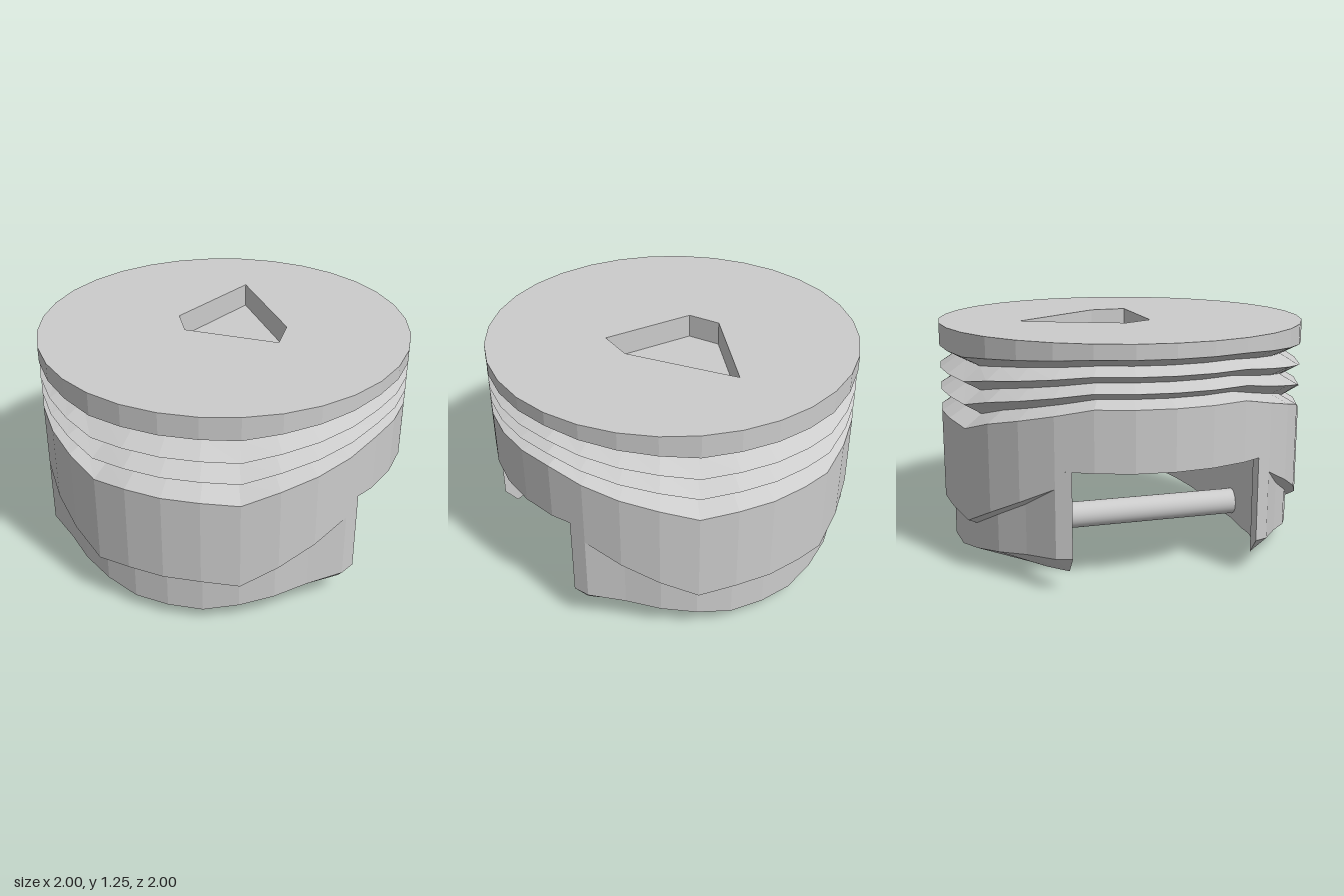
import * as THREE from 'three';

const SIDES = 32;
const DEG = Math.PI / 180;
const lerp = THREE.MathUtils.lerp;
const grey = (extra = {}) => new THREE.MeshStandardMaterial({ color: 0xcccccc, ...extra });

function facetMesh(name, positions) {
  const g = new THREE.BufferGeometry();
  g.setAttribute('position', new THREE.Float32BufferAttribute(positions, 3));
  g.computeVertexNormals();
  const mesh = new THREE.Mesh(g, grey({ flatShading: true }));
  mesh.name = name;
  return mesh;
}

// Joins rows of [x, y, z] points, top row first, into flat facets
function loft(rows, closed) {
  const out = [];
  for (let i = 0; i < rows.length - 1; i++) {
    const n = rows[i].length;
    for (let j = 0; j < (closed ? n : n - 1); j++) {
      const k = (j + 1) % n;
      const p = rows[i][j], q = rows[i][k], r = rows[i + 1][j], s = rows[i + 1][k];
      out.push(...p, ...q, ...r, ...q, ...s, ...r);
    }
  }
  return out;
}

const circle = (fn) => Array.from({ length: SIDES }, (_, i) => fn((i * 360) / SIDES));

// 0 over the pin-slot sides, 1 over the skirts, ramping between
function sway(deg) {
  const a = Math.atan2(Math.abs(Math.sin(deg * DEG)), Math.abs(Math.cos(deg * DEG))) / DEG;
  const dip = Math.abs(a - 67.5) < 1 ? 1.1 : 1;
  return THREE.MathUtils.clamp((a - 22.5) / 45, 0, 1) * dip;
}

// Crown rim, three V grooves that dip towards the skirts, and upper body
function makeBody() {
  const profile = [ // radius, height at the sides, height at front and back
    [1, 1.25, 1.25], [1, 1.175, 1.13], [0.9, 1.13, 1.075], [1, 1.095, 1.01],
    [0.9, 1.05, 0.955], [1, 1.015, 0.895], [0.9, 0.97, 0.835], [1, 0.94, 0.775], [1, 0.63, 0.63],
  ];
  const rows = profile.map(([r, side, front]) => circle((d) =>
    [r * Math.cos(d * DEG), lerp(side, front, sway(d)), r * Math.sin(d * DEG)]));
  return facetMesh('groovedBody', loft(rows, true));
}

// Flat horizontal plate from x, z outline points
function plate(name, outline, y, hole, down = false) {
  const to2D = (pts) => pts.map(([x, z]) => new THREE.Vector2(x, -z));
  const shape = new THREE.Shape(to2D(outline));
  if (hole) shape.holes.push(new THREE.Path(to2D(hole)));
  const mesh = new THREE.Mesh(new THREE.ShapeGeometry(shape), grey({ flatShading: true }));
  mesh.rotation.x = down ? Math.PI / 2 : -Math.PI / 2;
  mesh.position.y = y;
  mesh.name = name;
  return mesh;
}

// Curved skirt with a stepped outer face, sloping bottom and end faces on the slot
function makeSkirt(name) {
  const columns = [];
  const ledge = { 90: 0.295, 78.75: 0.295, 67.5: 0.268, 56.25: 0.36, 45: 0.45, 33.75: 0.54 };
  const addColumn = (x, z, r, ledgeY) => {
    const ax = Math.abs(x);
    const slope = Math.max(ax - 0.2, 0);
    const xi = x * 0.917;
    const zi = 0.7 * Math.sqrt(1 - (xi / 1.1) ** 2);
    const step = r < 1 ? 0.025 : 0;
    columns.push([
      [x, 0.63, z], [x, ledgeY, z], [x * r, ledgeY - step, z * r],
      [x * r, 0.07 + slope * 0.178, z * r],
      [xi, slope * 0.15, zi], [xi, 0.63, zi],
    ]);
  };
  addColumn(0.872, 0.48, 1, 0.55);
  for (let a = 33.75; a < 147; a += 11.25) {
    const fold = a > 90 ? 180 - a : a;
    addColumn(Math.cos(a * DEG), Math.sin(a * DEG), fold < 40 ? 1 : 0.95, ledge[fold]);
  }
  addColumn(-0.872, 0.48, 1, 0.55);

  const rows = columns[0].map((_, i) => columns.map((c) => c[i]));
  const tris = loft(rows, false);
  const first = columns[0], last = columns[columns.length - 1];
  for (const [a, b] of [[1, 3], [3, 4], [4, 5]]) {
    tris.push(...first[0], ...first[a], ...first[b]);
    tris.push(...last[0], ...last[b], ...last[a]);
  }
  return facetMesh(name, tris);
}

export function createModel() {
  const piston = new THREE.Group();
  piston.name = 'piston';
  const rim = circle((d) => [Math.cos(d * DEG), Math.sin(d * DEG)]);

  // Crown with a plain wedge-shaped pocket
  const pocket = [[-0.05, -0.58], [0.33, -0.08], [0.34, 0.12], [-0.18, 0.12], [-0.27, -0.04]];
  const floorY = 1.12;
  piston.add(plate('crownTop', rim, 1.25, pocket));
  piston.add(plate('pocketFloor', pocket, floorY));
  const inward = [...pocket].reverse();
  piston.add(facetMesh('pocketWalls',
    loft([1.25, floorY].map((y) => inward.map(([x, z]) => [x, y, z])), true)));

  piston.add(makeBody());
  piston.add(plate('underside', rim, 0.63, null, true));

  // Skirts at front and back
  const front = makeSkirt('frontSkirt');
  const back = makeSkirt('backSkirt');
  back.rotation.y = Math.PI;
  piston.add(front, back);

  // Pin between the skirts
  const pin = new THREE.Mesh(new THREE.CylinderGeometry(0.075, 0.075, 1.46, 32), grey());
  pin.name = 'pin';
  pin.rotation.x = Math.PI / 2;
  pin.position.y = 0.11;
  piston.add(pin);

  return piston;
}
